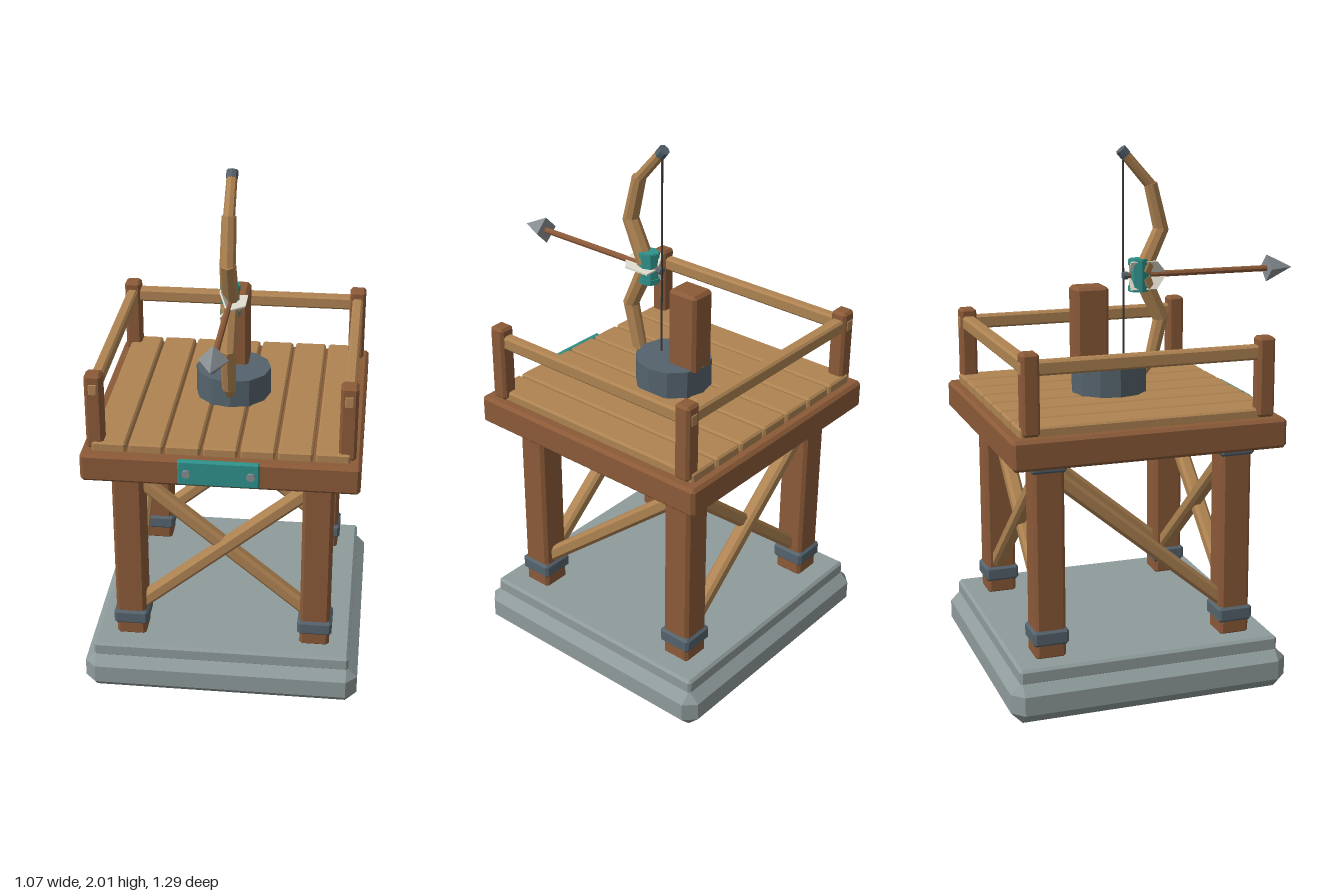
import * as THREE from 'three';
import { ConvexGeometry } from 'three/addons/geometries/ConvexGeometry.js';

const mat = (name, color) => {
  const m = new THREE.MeshStandardMaterial({ color });
  m.name = name;
  return m;
};

export function createModel() {
  const stone = mat('stone', 0x8f9b9b);
  const beamWood = mat('beam wood', 0x8b5a38);
  const plankWood = mat('plank wood', 0xae8352);
  const iron = mat('iron', 0x55636d);
  const teal = mat('teal', 0x2f918b);
  const steel = mat('steel', 0x868d91);
  const feather = mat('feather', 0xe0ddd0);
  const cord = mat('cord', 0x3c3a38);
  feather.side = THREE.DoubleSide;

  const model = new THREE.Group();
  model.name = 'archerTower';
  const tower = new THREE.Group();
  tower.name = 'tower';
  tower.position.z = -0.11;
  const bow = new THREE.Group();
  bow.name = 'bowAndArrow';
  bow.position.y = 1.522;
  model.add(tower, bow);

  const add = (parent, name, geo, material, x = 0, y = 0, z = 0) => {
    const mesh = new THREE.Mesh(geo, material);
    mesh.name = name;
    mesh.position.set(x, y, z);
    parent.add(mesh);
    return mesh;
  };

  // Box with every edge chamfered by c
  const chamferBox = (w, h, d, c) => {
    const pts = [];
    for (const sx of [-1, 1]) for (const sy of [-1, 1]) for (const sz of [-1, 1]) {
      const x = w / 2, y = h / 2, z = d / 2;
      pts.push(
        new THREE.Vector3(sx * x, sy * (y - c), sz * (z - c)),
        new THREE.Vector3(sx * (x - c), sy * y, sz * (z - c)),
        new THREE.Vector3(sx * (x - c), sy * (y - c), sz * z));
    }
    return new ConvexGeometry(pts);
  };

  // Faceted cylinder with flat normals
  const facet = (rTop, rBottom, h, sides) => {
    const g = new THREE.CylinderGeometry(rTop, rBottom, h, sides).toNonIndexed();
    g.computeVertexNormals();
    return g;
  };

  // Turn a mesh whose length runs along y to join two points
  const up = new THREE.Vector3(0, 1, 0);
  const join = (mesh, a, b) => {
    mesh.position.copy(a).add(b).multiplyScalar(0.5);
    mesh.quaternion.setFromUnitVectors(up, b.clone().sub(a).normalize());
    return mesh;
  };
  const V = (x, y, z) => new THREE.Vector3(x, y, z);

  // Stone foundation
  add(tower, 'foundation', chamferBox(1.07, 0.157, 1.07, 0.043), stone, 0, 0.0785);
  add(tower, 'foundationStep', chamferBox(1.0, 0.06, 1.0, 0.01), stone, 0, 0.172);

  // Legs with iron collars
  for (const x of [-0.36, 0.36]) for (const z of [-0.36, 0.36]) {
    add(tower, 'leg', chamferBox(0.116, 0.76, 0.116, 0.012), beamWood, x, 0.575, z);
    add(tower, 'lowerCollar', chamferBox(0.134, 0.06, 0.134, 0.01), iron, x, 0.28, z);
    add(tower, 'upperCollar', chamferBox(0.134, 0.06, 0.134, 0.01), iron, x, 0.93, z);
  }

  // Crossed braces front and back, single braces on the sides
  const brace = (a, b) =>
    join(add(tower, 'brace', chamferBox(0.055, a.distanceTo(b), 0.055, 0.012), plankWood), a, b);
  for (const s of [-1, 1]) {
    for (const t of [-1, 1])
      brace(V(-0.34 * t, 0.315, s * 0.36 + t * 0.01), V(0.34 * t, 0.885, s * 0.36 + t * 0.01));
    brace(V(s * 0.36, 0.315, 0.34), V(s * 0.36, 0.885, -0.34));
  }

  // Deck
  add(tower, 'deckFrame', chamferBox(1.03, 0.112, 1.03, 0.012), beamWood, 0, 0.996);
  for (let i = -3; i <= 3; i++)
    add(tower, 'plank', chamferBox(0.126, 0.045, 0.957, 0.007), plankWood, i * 0.137, 1.0635);

  // Railing on three sides
  for (const x of [-0.462, 0.462]) {
    for (const z of [-0.44, 0.44])
      add(tower, 'railPost', chamferBox(0.064, 0.295, 0.064, 0.01), beamWood, x, 1.204, z);
    add(tower, 'sideRail', chamferBox(0.042, 0.053, 0.95, 0.008), plankWood, x, 1.295);
  }
  add(tower, 'backRail', chamferBox(0.985, 0.053, 0.05, 0.008), plankWood, 0, 1.295, -0.44);

  // Front plaque with bolts
  add(tower, 'plaque', chamferBox(0.3, 0.1, 0.024, 0.006), teal, 0, 1.006, 0.521);
  for (const x of [-0.118, 0.118])
    add(tower, 'bolt', facet(0.016, 0.016, 0.016, 8), steel, x, 1.006, 0.534).rotation.x = Math.PI / 2;

  // Turntable and upright
  add(tower, 'turntable', facet(0.145, 0.145, 0.11, 12), iron, 0, 1.138);
  add(tower, 'upright', chamferBox(0.108, 0.32, 0.128, 0.012), beamWood, 0, 1.332, -0.077);

  // Bow limbs, mirrored above and below the grip
  const joints = [[0.03, 0.02], [0.1, 0.17], [0.06, 0.335], [-0.045, 0.455]];
  const radii = [0.034, 0.03, 0.022];
  for (const s of [-1, 1]) {
    const p = joints.map(([z, y]) => V(0, s * y, z));
    radii.forEach((r, i) => {
      const len = p[i].distanceTo(p[i + 1]) + 0.015;
      join(add(bow, 'bowLimb', facet(r * 0.9, r, len, 8), plankWood), p[i], p[i + 1]);
    });
    const dir = p[3].clone().sub(p[2]).normalize();
    join(add(bow, 'bowTip', facet(0.022, 0.022, 0.03, 8), iron),
      p[3].clone().addScaledVector(dir, -0.008), p[3].clone().addScaledVector(dir, 0.022));
  }
  add(bow, 'bowString', facet(0.004, 0.004, 0.92, 6), cord, 0, 0, -0.05);

  // Wrapped grip
  const grip = add(bow, 'grip', facet(0.041, 0.041, 0.125, 8), teal, 0, 0, 0.014);
  grip.scale.x = 0.85;
  for (const y of [-0.05, 0.05])
    add(bow, 'gripBand', facet(0.045, 0.045, 0.02, 8), teal, 0, y, 0.014).scale.x = 0.85;

  // Arrow
  add(bow, 'arrowShaft', facet(0.012, 0.012, 0.59, 8), beamWood, 0, 0, 0.25).rotation.x = Math.PI / 2;
  add(bow, 'arrowHead', facet(0, 0.053, 0.108, 4), steel, 0, 0, 0.593).rotation.x = Math.PI / 2;
  add(bow, 'nock', facet(0.015, 0.015, 0.02, 8), iron, 0, 0, -0.043).rotation.x = Math.PI / 2;

  // Three feather vanes around the shaft
  const vane = new THREE.Shape([[0.008, 0.03], [0.062, 0.03], [0.062, -0.075], [0.008, -0.12]]
    .map(([x, y]) => new THREE.Vector2(x, y)));
  const vaneGeo = new THREE.ExtrudeGeometry(vane, { depth: 0.006, bevelEnabled: false });
  vaneGeo.translate(0, 0, -0.003);
  vaneGeo.rotateX(-Math.PI / 2);
  for (let i = 0; i < 3; i++)
    add(bow, 'vane', vaneGeo, feather).rotation.z = i * Math.PI * 2 / 3;

  return model;
}
